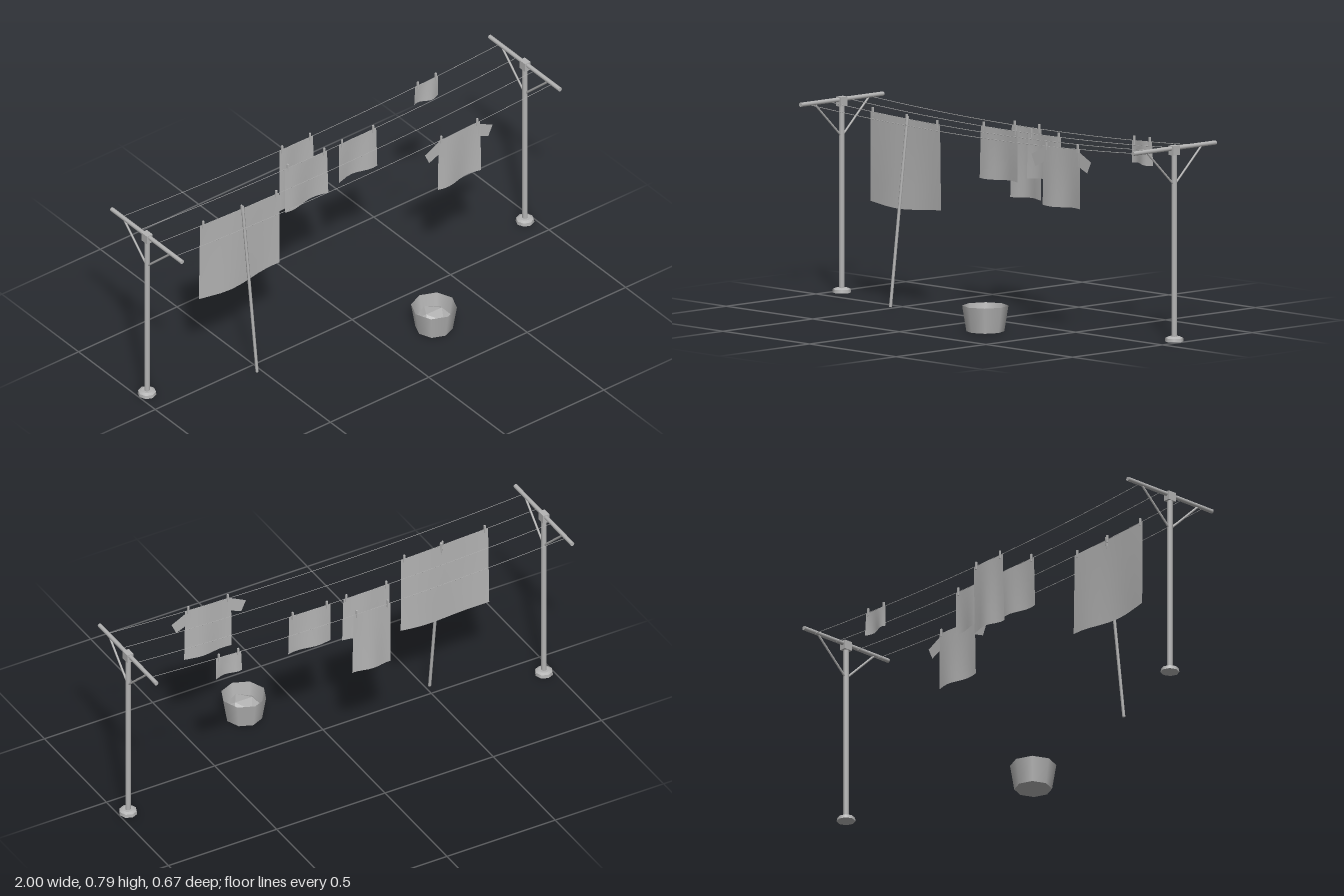
import * as THREE from 'three';

const grey = new THREE.MeshStandardMaterial({ color: 0xb4b4b4 });
grey.name = 'plain grey';
grey.side = THREE.DoubleSide;

const POST_X = 0.96, POST_Z = -0.105;
const LINE_Z = [0.068, -0.047, -0.162, -0.277];
const lineY = x => 0.744 + 0.031 * (x / POST_X) ** 2;
const v = (x, y, z) => new THREE.Vector3(x, y, z);

function add(parent, name, geometry, x = 0, y = 0, z = 0) {
  const mesh = new THREE.Mesh(geometry, grey);
  mesh.name = name;
  mesh.position.set(x, y, z);
  parent.add(mesh);
  return mesh;
}

// Round bar between two points
function bar(parent, name, a, b, radius, sides = 8) {
  const dir = b.clone().sub(a);
  const mesh = add(parent, name, new THREE.CylinderGeometry(radius, radius, dir.length(), sides));
  mesh.position.copy(a).add(b).multiplyScalar(0.5);
  mesh.quaternion.setFromUnitVectors(v(0, 1, 0), dir.normalize());
  return mesh;
}

// T-shaped post with foot, collar and two braces
function makePost(x) {
  const post = new THREE.Group();
  post.name = 'post';
  post.position.set(x, 0, POST_Z);
  add(post, 'footBase', new THREE.CylinderGeometry(0.036, 0.038, 0.014, 8), 0, 0.007, 0);
  add(post, 'footBevel', new THREE.CylinderGeometry(0.024, 0.036, 0.006, 8), 0, 0.017, 0);
  bar(post, 'pole', v(0, 0.015, 0), v(0, 0.78, 0), 0.0115, 10);
  bar(post, 'crossbar', v(0, 0.782, -0.23), v(0, 0.782, 0.23), 0.009);
  add(post, 'collar', new THREE.BoxGeometry(0.028, 0.038, 0.038), 0, 0.774, 0);
  for (const s of [-1, 1])
    bar(post, 'brace', v(0, 0.64, s * 0.008), v(0, 0.776, s * 0.15), 0.0045, 6);
  return post;
}

// Hanging cloth: follows the sagging line, folds deepen towards the hem
function addCloth(parent, name, x0, x1, bottom, z, phase, hem = 0.006) {
  const geo = new THREE.PlaneGeometry(1, 1, 8, 4);
  const p = geo.attributes.position;
  for (let i = 0; i < p.count; i++) {
    const u = p.getX(i) + 0.5, t = 0.5 - p.getY(i);
    const x = x0 + (x1 - x0) * u;
    const top = lineY(x) + 0.001;
    const low = bottom - hem * Math.sin(u * 5 + phase);
    const fold = Math.sin(u * 6.5 + phase) * (0.0015 + 0.0065 * t);
    const flare = (u - 0.5) * 0.006 * t;
    p.setXYZ(i, x + flare, top + (low - top) * t, z + fold);
  }
  geo.computeVertexNormals();
  return add(parent, name, geo);
}

function addPegs(parent, xs, z) {
  for (const x of xs)
    add(parent, 'peg', new THREE.BoxGeometry(0.007, 0.034, 0.007), x, lineY(x) + 0.002, z);
}

export function createModel() {
  const model = new THREE.Group();
  model.name = 'clothesline';

  for (const s of [-1, 1]) model.add(makePost(s * POST_X));

  // Four sagging lines
  for (const z of LINE_Z) {
    const pts = [];
    for (let i = 0; i <= 12; i++) {
      const x = -POST_X + (i / 12) * 2 * POST_X;
      pts.push(v(x, lineY(x), z));
    }
    add(model, 'line', new THREE.TubeGeometry(new THREE.CatmullRomCurve3(pts), 24, 0.0013, 4));
  }

  // Laundry: name, left x, right x, hem y, line index, fold phase, pegs
  const laundry = [
    ['sheet', -0.735, -0.333, 0.394, 1, 5.6, [-0.72, -0.525, -0.348]],
    ['towelLeft', -0.215, -0.002, 0.537, 2, 0.6, [-0.2, -0.015]],
    ['towelRight', 0.058, 0.248, 0.563, 2, 2.4, [0.075, 0.233]],
    ['towelBack', -0.155, 0.016, 0.456, 3, 1.2, [-0.14, 0.002]],
    ['smallCloth', 0.537, 0.652, 0.662, 3, 3.6, [0.55, 0.64]],
    ['shirtBody', 0.385, 0.597, 0.512, 0, 0.3, [0.4, 0.583]],
  ];
  for (const [name, x0, x1, hem, line, phase, pegs] of laundry) {
    addCloth(model, name, x0, x1, hem, LINE_Z[line], phase, name === 'sheet' ? 0.008 : 0.003);
    addPegs(model, pegs, LINE_Z[line]);
  }

  // Shirt sleeves, mirrored about the middle of the shirt
  for (const s of [-1, 1]) {
    const outline = [[0.095, 0.749], [0.172, 0.71], [0.15, 0.663], [0.1, 0.685]];
    const shape = new THREE.Shape(outline.map(([x, y]) => new THREE.Vector2(s * x, y)));
    add(model, 'shirtSleeve', new THREE.ShapeGeometry(shape), 0.488, 0, LINE_Z[0] + 0.001);
  }

  // Leaning prop pole holding up the sheet line
  bar(model, 'propPole', v(-0.52, 0.001, 0.048), v(-0.52, 0.765, -0.047), 0.0065, 6);

  // Open tub with a low heap inside
  const tub = new THREE.Group();
  tub.name = 'tub';
  tub.position.set(0.228, 0, 0.241);
  add(tub, 'tubWall', new THREE.CylinderGeometry(0.093, 0.076, 0.104, 8, 1, true), 0, 0.052, 0);
  add(tub, 'tubFloor', new THREE.CylinderGeometry(0.076, 0.076, 0.003, 8), 0, 0.0015, 0);
  const heap = add(tub, 'heap', new THREE.IcosahedronGeometry(0.075, 0), 0, 0.05, 0);
  heap.scale.y = 0.45;
  model.add(tub);

  return model;
}
